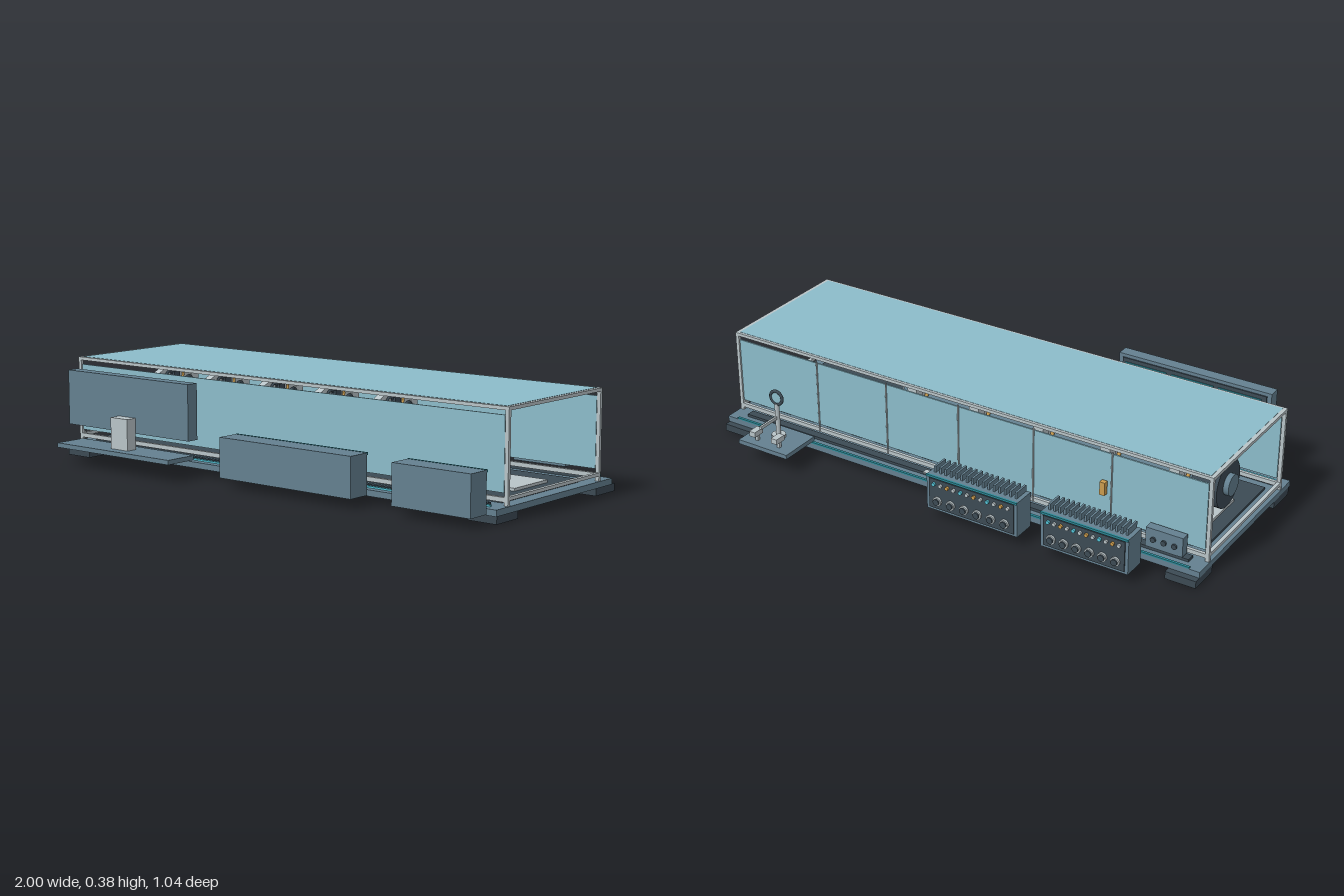
import * as THREE from 'three';

const mat = (name, color) => {
  const m = new THREE.MeshStandardMaterial({ color });
  m.name = name;
  return m;
};

export function createModel() {
  const steel = mat('steel blue', 0x648090);
  const dark = mat('dark slate', 0x3c4a54);
  const light = mat('light grey', 0xb9c4c8);
  const glass = mat('pale glass', 0x8cbcca);
  const gold = mat('gold', 0xcb9c4e);
  const teal = mat('teal', 0x2c8a98);
  const cyan = mat('cyan', 0x55c4d8);

  const model = new THREE.Group();
  model.name = 'cabinetMachine';
  const group = (name) => {
    const g = new THREE.Group();
    g.name = name;
    model.add(g);
    return g;
  };
  const add = (parent, name, geo, m, x, y, z) => {
    const mesh = new THREE.Mesh(geo, m);
    mesh.name = name;
    mesh.position.set(x, y, z);
    parent.add(mesh);
    return mesh;
  };
  // Box given by its limits on each axis
  const box = (parent, name, m, x0, x1, y0, y1, z0, z1) =>
    add(parent, name, new THREE.BoxGeometry(x1 - x0, y1 - y0, z1 - z0), m,
      (x0 + x1) / 2, (y0 + y1) / 2, (z0 + z1) / 2);
  // Cylinder along a chosen axis
  const rod = (parent, name, m, axis, r, len, x, y, z, sides = 24) => {
    const geo = new THREE.CylinderGeometry(r, r, len, sides);
    if (axis === 'x') geo.rotateZ(Math.PI / 2);
    if (axis === 'z') geo.rotateX(Math.PI / 2);
    return add(parent, name, geo, m, x, y, z);
  };
  // Ring whose axis runs along x
  const ringX = (parent, name, m, r, tube, x, y, z, seg = 40) =>
    add(parent, name, new THREE.TorusGeometry(r, tube, 10, seg).rotateY(Math.PI / 2), m, x, y, z);

  // Base and feet
  const base = group('base');
  box(base, 'basePlate', steel, -1, 1, 0.028, 0.05, -0.353, 0.35);
  for (const x of [-1, 0.88])
    for (const z of [0.22, -0.378]) box(base, 'foot', dark, x, x + 0.115, 0, 0.028, z, z + 0.12);
  box(base, 'floorPlate', dark, -0.95, 0.95, 0.05, 0.06, -0.22, 0.245);
  box(base, 'floorRunner', light, -0.9, 0.9, 0.06, 0.07, -0.1, 0.1);
  box(base, 'frontTrack', dark, -0.96, 0.935, 0.05, 0.058, 0.286, 0.305);
  box(base, 'backTrack', dark, -0.94, 0.935, 0.05, 0.06, -0.317, -0.285);
  box(base, 'frontGlowStrip', cyan, -0.96, 0.955, 0.05, 0.056, 0.312, 0.322);
  box(base, 'backGlowStrip', teal, -0.96, 0.955, 0.05, 0.056, -0.353, -0.343);
  box(base, 'namePlate', light, -0.13, 0.125, 0.06, 0.066, -0.325, -0.303);

  // Case frame and glass, open at both ends
  const frame = group('caseFrame');
  for (const s of [-1, 1]) {
    for (const t of [-1, 1])
      box(frame, 'cornerPost', light, s * 0.99 - 0.007, s * 0.99 + 0.007, 0.05, 0.373,
        t * 0.276 - 0.006, t * 0.276 + 0.006);
    box(frame, 'endTopRail', light, s * 0.99 - 0.007, s * 0.99 + 0.007, 0.362, 0.374, -0.282, 0.282);
    box(frame, 'endBottomRail', light, s * 0.99 - 0.007, s * 0.99 + 0.007, 0.068, 0.08, -0.282, 0.282);
    box(frame, 'sideTopRail', light, -0.997, 0.997, 0.362, 0.374, s * 0.276 - 0.006, s * 0.276 + 0.006);
    box(frame, 'sideBottomRail', light, -0.997, 0.997, 0.062, 0.078, s * 0.276 - 0.006, s * 0.276 + 0.006);
    box(frame, 'sideGlass', glass, -0.98, 0.98, 0.092, 0.346, s * 0.276 - 0.003, s * 0.276 + 0.003);
  }
  box(frame, 'topGlass', glass, -0.983, 0.983, 0.367, 0.375, -0.272, 0.272);
  for (let i = -2; i <= 2; i++) rod(frame, 'backMullion', light, 'y', 0.003, 0.29, i * 0.31, 0.21, -0.281, 8);
  box(frame, 'hangingTag', gold, -0.605, -0.585, 0.19, 0.24, -0.302, -0.283);

  // Ring machine inside the case
  const machine = group('ringMachine');
  const cy = 0.188;
  rod(machine, 'coreTube', steel, 'x', 0.075, 1.2, -0.25, cy, 0, 32);
  for (let i = 0; i < 5; i++) {
    const x = -0.78 + i * 0.27;
    rod(machine, 'bigDisc', light, 'x', 0.142, 0.03, x, cy, 0, 48);
    for (const s of [-1, 1]) {
      box(machine, 'discPost', light, x - 0.02, x + 0.02, 0.07, 0.31, s * 0.115 - 0.02, s * 0.115 + 0.02);
      ringX(machine, 'goldBand', gold, 0.086, 0.007, x + s * 0.025, cy, 0);
      box(machine, 'sideCoilBox', steel, x - 0.04, x + 0.04, 0.14, 0.205, s * 0.155 - 0.021, s * 0.155 + 0.021);
    }
    for (let k = 0; k < 12; k++) {
      const a = (k + 0.5) * Math.PI / 6;
      ringX(machine, 'coilRing', k % 2 ? gold : dark, 0.018, 0.005,
        x + 0.022, cy + 0.11 * Math.sin(a), 0.11 * Math.cos(a), 16);
    }
    box(machine, 'topSensor', dark, x - 0.02, x + 0.035, 0.285, 0.31, -0.016, 0.016);
  }
  rod(machine, 'endMotor', dark, 'x', 0.09, 0.1, -0.87, cy, 0, 32);
  rod(machine, 'motorHub', steel, 'x', 0.04, 0.03, -0.925, cy, 0);
  // Nose facing the open bay
  rod(machine, 'noseDisc', steel, 'x', 0.08, 0.04, 0.36, cy, 0, 32);
  box(machine, 'noseBlock', light, 0.37, 0.4, cy - 0.05, cy + 0.05, -0.05, 0.05);
  ringX(machine, 'noseRing', gold, 0.038, 0.006, 0.402, cy, 0);
  rod(machine, 'noseCap', steel, 'x', 0.033, 0.02, 0.403, cy, 0);
  rod(machine, 'noseLens', light, 'x', 0.016, 0.01, 0.412, cy, 0);
  box(machine, 'cradle', light, 0.36, 0.44, 0.115, 0.143, -0.075, 0.078);
  for (const s of [-1, 1])
    for (let i = 0; i < 4; i++)
      add(machine, 'spring', new THREE.TorusGeometry(0.013, 0.004, 8, 16).rotateX(Math.PI / 2), dark,
        0.4, 0.08 + i * 0.009, s * 0.06);
  box(machine, 'cradleBox', steel, 0.38, 0.45, 0.092, 0.153, -0.12, -0.073);

  // Knobs and lamps on a console face; dir is the way the face looks along z
  const controls = (g, x0, x1, y, z, dir, count) => {
    for (let i = 0; i < count; i++) {
      const x = x0 + (x1 - x0) * (i + 0.5) / count;
      rod(g, 'knobRim', light, 'z', 0.017, 0.008, x, y, z + dir * 0.004);
      rod(g, 'knob', dark, 'z', 0.012, 0.014, x, y, z + dir * 0.007);
    }
    for (let i = 0; i < count * 2; i++) {
      const x = x0 + (x1 - x0) * (i + 0.5) / (count * 2);
      rod(g, 'lamp', [light, gold, light, cyan][i % 4], 'z', 0.007, 0.008, x, y + 0.065, z + dir * 0.004, 12);
    }
  };

  // Rear consoles with cooling fins
  for (const [x0, x1] of [[-0.8, -0.463], [-0.37, 0]]) {
    const g = group('rearConsole');
    box(g, 'consoleBody', steel, x0, x1, 0.04, 0.176, -0.48, -0.393);
    box(g, 'facePlate', dark, x0 + 0.012, x1 - 0.012, 0.05, 0.166, -0.484, -0.48);
    box(g, 'faceTrim', teal, x0, x1, 0.17, 0.178, -0.486, -0.478);
    controls(g, x0 + 0.02, x1 - 0.02, 0.082, -0.484, -1, 6);
    for (let i = 0; i < 16; i++) {
      const x = x0 + 0.02 + (x1 - x0 - 0.04) * i / 15;
      box(g, 'coolingFin', steel, x - 0.004, x + 0.004, 0.176, 0.2, -0.457, -0.396);
    }
  }

  // Front consoles, facing the case
  for (const [x0, x1, n] of [[-0.1, 0.49, 8], [0.66, 0.975, 5]]) {
    const g = group('frontConsole');
    box(g, 'consoleBody', steel, x0, x1, 0.035, 0.18, 0.37, 0.457);
    box(g, 'facePlate', dark, x0 + 0.012, x1 - 0.012, 0.045, 0.168, 0.366, 0.37);
    box(g, 'faceTrim', teal, x0, x1, 0.172, 0.181, 0.364, 0.372);
    controls(g, x0 + 0.02, x1 - 0.02, 0.085, 0.366, -1, n);
  }

  // Screen on a stand with a shelf
  const screen = group('screenStation');
  box(screen, 'screenBody', steel, -0.887, -0.27, 0.143, 0.348, 0.39, 0.437);
  box(screen, 'screenFace', dark, -0.87, -0.287, 0.158, 0.335, 0.385, 0.39);
  for (let i = 0; i < 3; i++)
    box(screen, 'screenPane', teal, -0.85 + i * 0.19, -0.68 + i * 0.19, 0.21, 0.32, 0.382, 0.385);
  for (let i = 0; i < 10; i++)
    rod(screen, 'screenButton', light, 'z', 0.008, 0.008, -0.83 + i * 0.056, 0.182, 0.382, 12);
  box(screen, 'stand', light, -0.62, -0.535, 0.084, 0.2, 0.437, 0.48);
  box(screen, 'shelf', steel, -0.865, -0.29, 0.067, 0.084, 0.39, 0.52);

  // Lens stand at the back
  const lens = group('lensStand');
  box(lens, 'standPlate', steel, 0.59, 0.81, 0.067, 0.084, -0.52, -0.353);
  rod(lens, 'standFoot', light, 'y', 0.026, 0.012, 0.7, 0.09, -0.423);
  rod(lens, 'standPost', light, 'y', 0.009, 0.135, 0.7, 0.155, -0.423, 16);
  add(lens, 'lensRing', new THREE.TorusGeometry(0.026, 0.006, 10, 32), dark, 0.7, 0.246, -0.423);
  rod(lens, 'lensDisc', glass, 'z', 0.024, 0.004, 0.7, 0.246, -0.423);
  box(lens, 'standArm', light, 0.696, 0.704, 0.16, 0.172, -0.523, -0.423);
  for (const x of [0.65, 0.75]) {
    box(lens, 'clampBlock', light, x - 0.013, x + 0.013, 0.11, 0.13, -0.513, -0.467);
    box(lens, 'clampLeg', light, x - 0.006, x + 0.006, 0.084, 0.11, -0.49, -0.478);
  }

  // Small junction box by the back track
  const junction = group('junctionBox');
  box(junction, 'junctionBody', steel, -0.92, -0.78, 0.066, 0.14, -0.326, -0.292);
  for (let i = 0; i < 3; i++)
    rod(junction, 'junctionButton', dark, 'z', 0.01, 0.008, -0.89 + i * 0.04, 0.1, -0.329, 12);

  return model;
}
